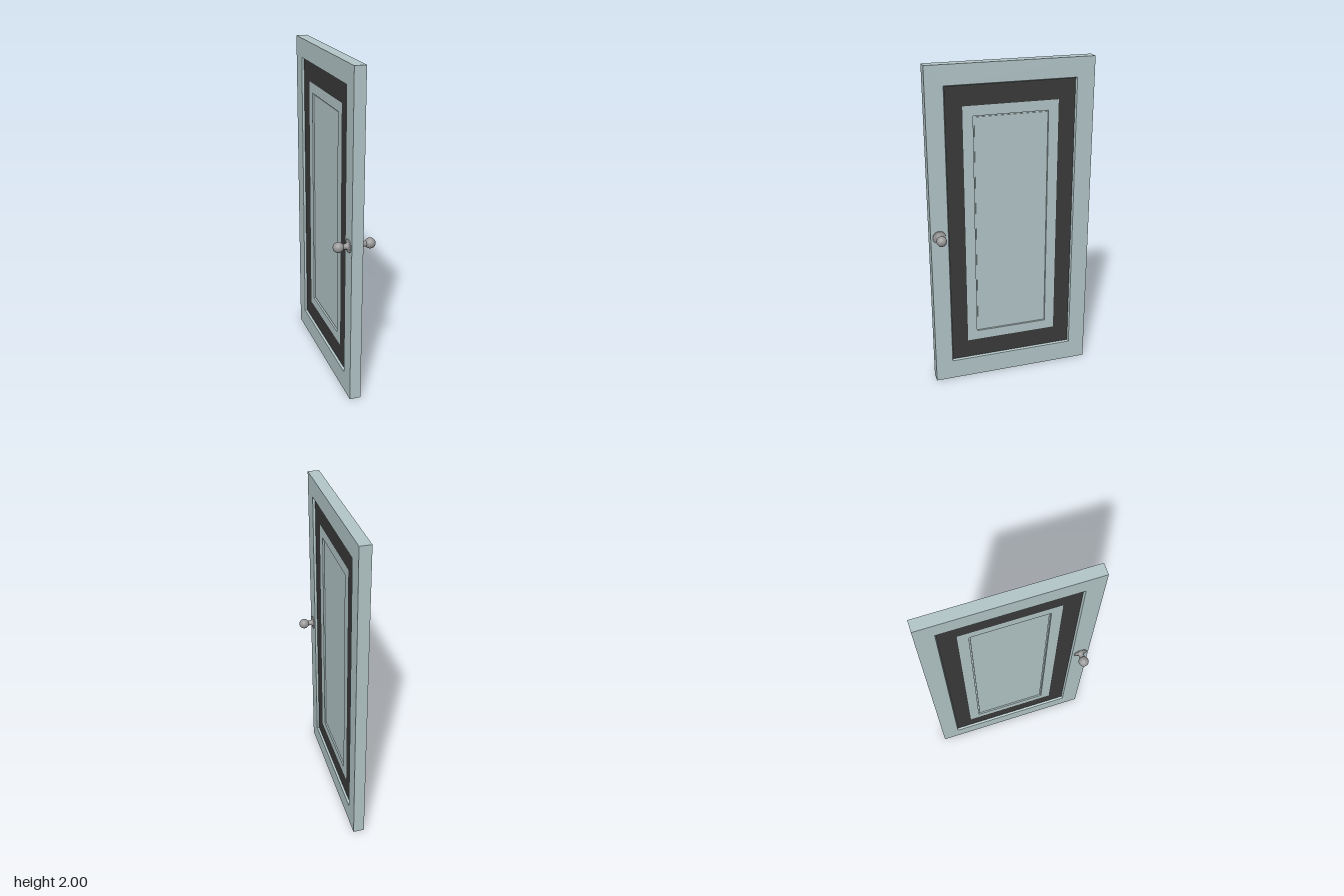
import * as THREE from 'three';

// Mitred rectangular rings: each step is [halfWidth z, bottom y, top y, x]
function mitredRings(steps) {
  const corners = steps.map(([w, y0, y1, x]) => [[x, y0, w], [x, y0, -w], [x, y1, -w], [x, y1, w]]);
  const pos = [];
  for (let i = 0; i < steps.length - 1; i++) {
    for (let k = 0; k < 4; k++) {
      const n = (k + 1) % 4;
      const a = corners[i][k], b = corners[i][n], c = corners[i + 1][n], d = corners[i + 1][k];
      pos.push(...a, ...b, ...c, ...a, ...c, ...d);
    }
  }
  const geo = new THREE.BufferGeometry();
  geo.setAttribute('position', new THREE.Float32BufferAttribute(pos, 3));
  geo.computeVertexNormals();
  return geo;
}

export function createModel() {
  const door = new THREE.Group();
  door.name = 'door';
  const paint = new THREE.MeshStandardMaterial({ color: 0xb3c6c8 });
  const dark = new THREE.MeshStandardMaterial({ color: 0x3a3a3a });
  const metal = new THREE.MeshStandardMaterial({ color: 0x999999 });

  const add = (parent, name, geo, mat) => {
    const mesh = new THREE.Mesh(geo, mat);
    mesh.name = name;
    parent.add(mesh);
    return mesh;
  };

  // Half thickness of the slab, and depth of the sunk panel face
  const T = 0.034, P = 0.021;

  // Outer frame: half the edge, the face, and the sloped reveal of the opening
  const frame = mitredRings([
    [0.5, 0, 2, 0], [0.5, 0, 2, T],
    [0.394, 0.126, 1.884, T], [0.388, 0.132, 1.878, P],
  ]);
  // Dark band between frame and panel
  const band = mitredRings([[0.388, 0.132, 1.878, P], [0.287, 0.25, 1.76, P]]);
  // Panel border and the wall stepping down into the groove
  const border = mitredRings([
    [0.287, 0.25, 1.76, P], [0.226, 0.31, 1.70, P],
    [0.226, 0.31, 1.70, 0.009], [0.218, 0.318, 1.692, 0.009],
  ]);

  // Knob profile along its axis: rose plate, flared neck
  const neck = new THREE.LatheGeometry([
    [0.04, 0.03], [0.04, 0.037], [0.037, 0.04], [0.024, 0.04], [0.019, 0.045],
    [0.0155, 0.055], [0.0165, 0.066], [0.016, 0.075],
  ].map(([r, h]) => new THREE.Vector2(r, h)), 32).rotateZ(-Math.PI / 2);
  const ball = new THREE.SphereGeometry(0.031, 32, 20).rotateZ(-Math.PI / 2);

  // Both faces are alike; the second is turned half round
  for (const [label, side] of [['right', 1], ['left', -1]]) {
    const face = new THREE.Group();
    face.name = label === 'left' ? 'faceAtPlusX' : 'faceAtMinusX';
    face.name = side > 0 ? 'leftFace' : 'rightFace';
    face.rotation.y = side > 0 ? 0 : Math.PI;
    add(face, 'frame', frame, paint);
    add(face, 'darkBand', band, dark);
    add(face, 'panelBorder', border, paint);

    const knob = new THREE.Group();
    knob.name = 'knob';
    knob.position.set(0, 0.99, 0.448 * side);
    add(knob, 'roseAndNeck', neck, metal);
    add(knob, 'ball', ball, metal).position.x = 0.0945;
    face.add(knob);
    door.add(face);
  }

  // Middle field of the panel, seen from both faces
  add(door, 'panelField', new THREE.BoxGeometry(0.028, 1.374, 0.436), paint).position.y = 1.005;
  return door;
}
